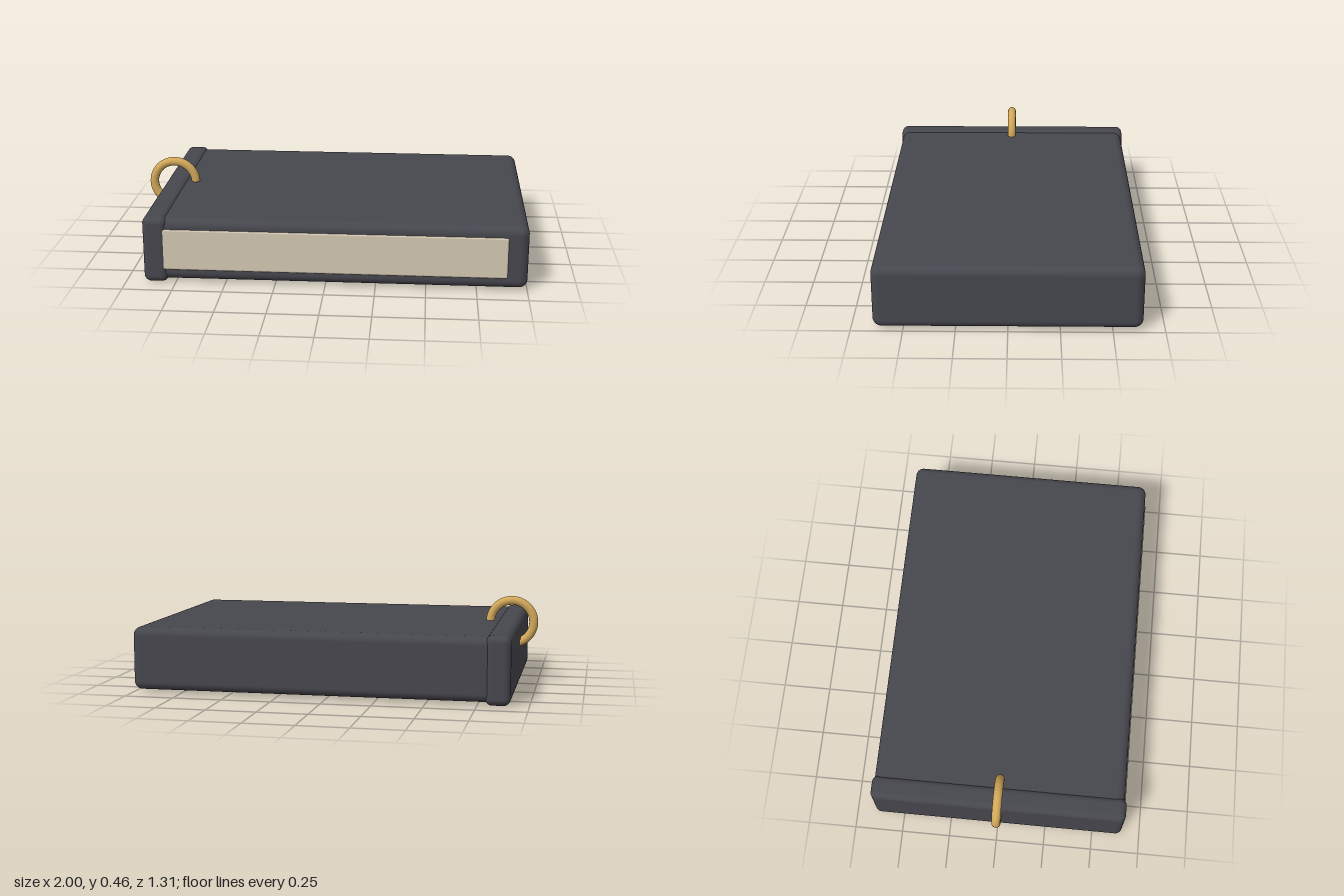
import * as THREE from 'three';
import { RoundedBoxGeometry } from 'three/addons/geometries/RoundedBoxGeometry.js';

const material = (name, color) => {
  const m = new THREE.MeshStandardMaterial({ color });
  m.name = name;
  return m;
};

// Rounded box given by its two opposite corners
function block(name, min, max, radius, mat) {
  const size = max.map((v, i) => v - min[i]);
  const mesh = new THREE.Mesh(new RoundedBoxGeometry(...size, 5, radius), mat);
  mesh.position.set(...max.map((v, i) => (v + min[i]) / 2));
  mesh.name = name;
  return mesh;
}

export function createModel() {
  const model = new THREE.Group();
  model.name = 'book';
  const cover = material('charcoal cover', 0x46464e);
  const paper = material('cream paper', 0xd4c8b2);
  const brass = material('brass', 0xd2a85a);

  // Cover body and the slightly larger spine
  model.add(block('coverBody', [-0.87, 0.013, -0.645], [1, 0.333, 0.645], 0.042, cover));
  model.add(block('spine', [-0.91, 0, -0.655], [-0.787, 0.342, 0.655], 0.035, cover));

  // Page edge, just proud of the front side
  model.add(block('pageEdge', [-0.84, 0.07, 0.55], [0.9, 0.281, 0.651], 0.009, paper));

  // Ring threaded through the top of the spine
  const ring = new THREE.Mesh(new THREE.TorusGeometry(0.113, 0.023, 16, 48), brass);
  ring.position.set(-0.864, 0.327, 0);
  ring.name = 'ring';
  model.add(ring);

  return model;
}
